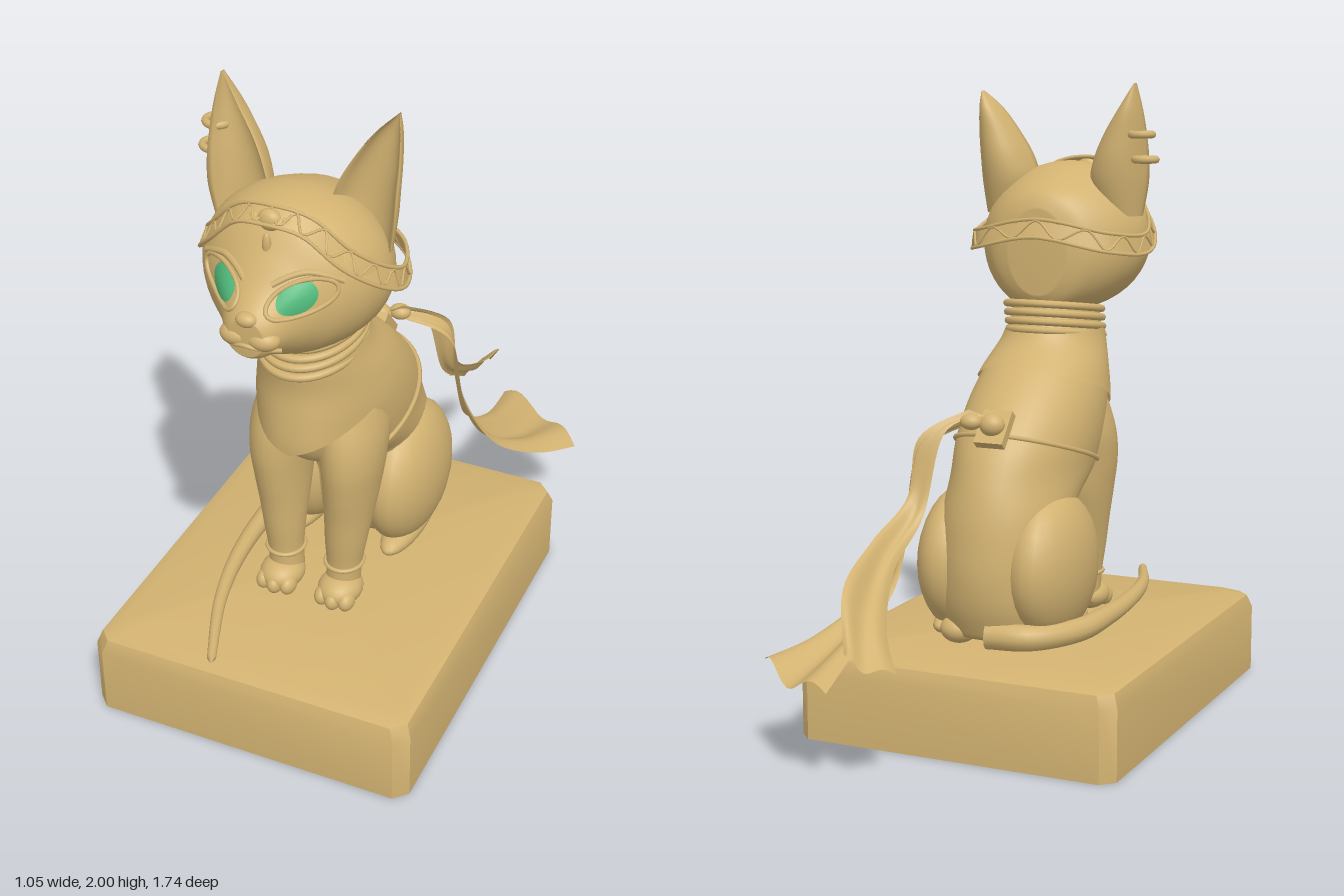
import * as THREE from 'three';
import { mergeVertices, toCreasedNormals } from 'three/addons/utils/BufferGeometryUtils.js';
import { ParametricGeometry } from 'three/addons/geometries/ParametricGeometry.js';

const V = (x, y, z) => new THREE.Vector3(x, y, z);
const TAU = Math.PI * 2;

// smooth interpolation through rows of numbers, t in 0..1
function spline(rows) {
  return (t) => {
    const s = Math.min(Math.max(t, 0), 1) * (rows.length - 1);
    const i = Math.min(Math.floor(s), rows.length - 2), f = s - i;
    const at = (k) => rows[Math.min(Math.max(k, 0), rows.length - 1)];
    const [a, b, c, d] = [at(i - 1), at(i), at(i + 1), at(i + 2)];
    return b.map((_, k) => b[k] + 0.5 * f * (c[k] - a[k] + f * (2 * a[k] - 5 * b[k] + 4 * c[k] - d[k]
      + f * (3 * (b[k] - c[k]) + d[k] - a[k]))));
  };
}

// smooth surface from a rule f(u, v)
function surface(f, nu, nv) {
  const g = new ParametricGeometry((u, v, p) => p.copy(f(u, v)), nu, nv);
  g.deleteAttribute('uv');
  g.deleteAttribute('normal');
  const m = mergeVertices(g, 1e-5);
  m.computeVertexNormals();
  return m;
}

// closed form from elliptical sections [x, y, z, r1, r2] stacked along y or z
function loft(rows, axis, nu = 32, nv = 40) {
  const at = spline(rows);
  return surface((u, v) => {
    const [x, y, z, r1, r2] = at(v), k = v < 1e-6 || v > 1 - 1e-6 ? 0 : 1;
    const c = Math.cos(u * TAU) * r1 * k, s = Math.sin(u * TAU) * r2 * k;
    return axis === 'y' ? V(x + c, y, z - s) : V(x + c, y + s, z);
  }, nu, nv);
}

export function createModel() {
  const model = new THREE.Group();
  model.name = 'seatedCat';
  const gold = new THREE.MeshStandardMaterial({ name: 'gold', color: 0xd2b271, side: THREE.DoubleSide });
  const green = new THREE.MeshStandardMaterial({ name: 'green', color: 0x50b87a, side: THREE.DoubleSide });

  const add = (name, geometry, material = gold) => {
    const mesh = new THREE.Mesh(geometry, material);
    mesh.name = name;
    model.add(mesh);
    return mesh;
  };
  const ball = (name, x, y, z, rx, ry, rz) => {
    const m = add(name, new THREE.SphereGeometry(1, 24, 16));
    m.position.set(x, y, z);
    m.scale.set(rx, ry, rz);
    return m;
  };
  const cord = (name, pts, r, closed = false, n = 48) =>
    add(name, new THREE.TubeGeometry(new THREE.CatmullRomCurve3(pts, closed), n, r, 6, closed));

  // plinth: hollow shell, open below
  const plinth = [[0, 0], [0.22, 0], [0.262, 0.015], [0.28, 0.06], [0.28, 1]];
  const corners = [[1, -1, 0, 1], [1, 1, 0, -1], [1, 1, -1, 0], [-1, 1, 1, 0],
    [-1, 1, 0, -1], [-1, -1, 0, 1], [-1, -1, 1, 0], [1, -1, -1, 0]];
  add('plinth', toCreasedNormals(surface((u, v) => {
    const [y, inset] = plinth[Math.round(v * 4)], c = corners[(8 - Math.round(u * 8)) % 8];
    const k = inset === 1 ? 0 : 1;
    return V(-0.005 + k * (c[0] * (0.525 - inset) + c[2] * 0.04), y,
      0.205 + k * (c[1] * (0.665 - inset) + c[3] * 0.04));
  }, 8, 4), 0.6));

  // torso: [back z, front z, half width] at heights 0.3 to 1.4
  const torso = [[-0.22, 0.08, 0.17], [-0.26, 0.15, 0.2], [-0.275, 0.18, 0.2], [-0.27, 0.19, 0.2],
    [-0.255, 0.24, 0.2], [-0.225, 0.42, 0.205], [-0.175, 0.48, 0.213], [-0.09, 0.5, 0.208],
    [0.02, 0.505, 0.185], [0.15, 0.52, 0.15], [0.2, 0.5, 0.135], [0.22, 0.52, 0.13]];
  add('torso', loft(torso.map(([b, f, w], i) => [0, 0.3 + i * 0.1, (b + f) / 2, w, (f - b) / 2]), 'y', 40, 60));
  const torsoAt = spline(torso);
  const onTorso = (a, y, off) => {
    const [b, f, w] = torsoAt((y - 0.3) / 1.1);
    return V((w + off) * Math.sin(a), y, (b + f) / 2 + ((f - b) / 2 + off) * Math.cos(a));
  };

  // legs and paws, both sides
  const legRows = [[0.095, 0.29, 0.37, 0.055, 0.06], [0.1, 0.4, 0.365, 0.055, 0.06], [0.105, 0.5, 0.36, 0.065, 0.075],
    [0.11, 0.6, 0.345, 0.075, 0.1], [0.115, 0.7, 0.335, 0.085, 0.125], [0.117, 0.8, 0.33, 0.095, 0.14],
    [0.11, 0.9, 0.31, 0.1, 0.15], [0.09, 1.02, 0.3, 0.09, 0.12]];
  for (const s of [-1, 1]) {
    add('frontLeg', loft(legRows.map(([x, ...r]) => [s * x, ...r]), 'y', 24, 32));
    ball('frontPaw', s * 0.1, 0.325, 0.395, 0.07, 0.05, 0.08);
    for (const k of [-1, 0, 1]) ball('frontToe', s * 0.1 + k * 0.04, 0.312, 0.45 - 0.01 * k * k, 0.026, 0.032, 0.036);
    const cuff = add('anklet', new THREE.TorusGeometry(0.058, 0.007, 8, 32));
    cuff.rotation.x = Math.PI / 2;
    cuff.position.set(s * 0.1, 0.41, 0.365);
    cuff.scale.y = 1.08;
    ball('haunch', s * 0.15, 0.52, -0.02, 0.125, 0.235, 0.235);
    ball('hindPaw', s * 0.165, 0.322, 0.0, 0.06, 0.045, 0.19);
    ball('hindHeel', s * 0.1, 0.325, -0.17, 0.06, 0.045, 0.06);
  }

  // tapering tail curled around the right side
  const tailPath = new THREE.CatmullRomCurve3([V(-0.02, 0.33, -0.22), V(-0.15, 0.33, -0.2), V(-0.25, 0.33, -0.06),
    V(-0.27, 0.33, 0.15), V(-0.26, 0.33, 0.38), V(-0.215, 0.325, 0.6), V(-0.115, 0.31, 0.86)]);
  const tail = new THREE.TubeGeometry(tailPath, 60, 0.045, 12);
  const tp = tail.attributes.position;
  for (let i = 0; i < tp.count; i++) {
    const t = Math.floor(i / 13) / 60, c = tailPath.getPointAt(t);
    const p = V(0, 0, 0).fromBufferAttribute(tp, i).sub(c).multiplyScalar(t > 0.99 ? 0.05 : 1 - 0.7 * t).add(c);
    tp.setXYZ(i, p.x, p.y, p.z);
  }
  add('tail', tail);

  // head, with sections from the nape to the muzzle
  const head = add('head', loft([[0, 1.47, 0.188, 0.09, 0.13], [0, 1.475, 0.22, 0.17, 0.185], [0, 1.485, 0.3, 0.235, 0.222],
    [0, 1.505, 0.41, 0.275, 0.24], [0, 1.51, 0.51, 0.265, 0.237], [0, 1.505, 0.59, 0.222, 0.212],
    [0, 1.48, 0.655, 0.158, 0.155], [0, 1.46, 0.71, 0.108, 0.105], [0, 1.445, 0.76, 0.075, 0.075],
    [0, 1.442, 0.782, 0.05, 0.055]], 'z', 48, 60));
  const ray = new THREE.Raycaster();
  const onHead = (x, y, lift = 0) => {
    ray.set(V(x, y, 2), V(0, 0, -1));
    const hit = ray.intersectObject(head)[0];
    return V(x, y, (hit ? hit.point.z : 0.5) + lift);
  };
  ball('nose', 0, 1.498, 0.768, 0.032, 0.022, 0.026);
  ball('chin', 0, 1.393, 0.735, 0.05, 0.03, 0.04);
  cord('mouth', [-0.085, -0.04, 0, 0.04, 0.085].map((x, i) => V(x, [1.4, 1.415, 1.425, 1.415, 1.4][i],
    [0.735, 0.775, 0.787, 0.775, 0.735][i])), 0.007);

  for (const s of [-1, 1]) {
    ball('muzzlePad', s * 0.04, 1.436, 0.75, 0.05, 0.033, 0.04);

    // eye: green iris within almond shaped lids
    add('iris', surface((u, v) => {
      const p = onHead(s * 0.11 + 0.047 * v * Math.cos(u * TAU), 1.545 - 0.044 * v * Math.sin(u * TAU), 0.004);
      p.z += 0.01 * (1 - v * v);
      return p;
    }, 24, 6), green);
    const lid = [];
    for (let k = 0; k < 16; k++) {
      const a = k / 16 * TAU;
      lid.push(onHead(s * (0.122 + 0.078 * Math.cos(a)), 1.542 + 0.046 * Math.sin(a) + 0.012 * Math.cos(a), 0.003));
    }
    cord('eyelid', lid, 0.007, true);
    cord('brow', [0, 1, 2, 3, 4].map((k) => onHead(s * (0.04 + k * 0.042), 1.575 + 0.03 * Math.sin(k * 0.8), 0)), 0.01);

    // cupped ear
    const ear = spline([[1.58, 0.13, 0.27, 0.42, 0.08], [1.68, 0.095, 0.285, 0.43, 0.12], [1.76, 0.11, 0.288, 0.425, 0.125],
      [1.84, 0.15, 0.287, 0.405, 0.1], [1.92, 0.205, 0.28, 0.385, 0.07], [s < 0 ? 2 : 1.975, 0.262, 0.268, 0.36, 0.015]]);
    add('ear', surface((u, v) => {
      const [y, xi, xo, z, d] = ear(v), a = (s > 0 ? u : 1 - u) * TAU, c = Math.cos(a), n = Math.sin(a);
      const h = (xo - xi) / 2 * (n < 0 ? 1 - 0.12 * Math.min(1, -n * 4) : 1);
      return V(s * ((xi + xo) / 2 + h * c), y, z - d * (n > 0 ? n : -0.55 * n));
    }, 32, 24));
  }

  // earrings in the right ear
  for (const [x, y] of [[-0.292, 1.84], [-0.305, 1.762]]) {
    const ring = add('earring', new THREE.TorusGeometry(0.034, 0.012, 8, 24));
    ring.rotation.x = Math.PI / 2;
    ring.position.set(x, y, 0.345);
  }

  // headband: strip with rims and a zigzag
  const side = [[0.1, 1.715, 0.6], [0.2, 1.62, 0.565], [0.272, 1.54, 0.48], [0.292, 1.495, 0.38], [0.22, 1.505, 0.235]];
  const bandPath = new THREE.CatmullRomCurve3([V(0, 1.735, 0.615), ...side.map((p) => V(...p)), V(0, 1.545, 0.182),
    ...side.slice().reverse().map(([x, y, z]) => V(-x, y, z))], true);
  const onBand = (u, w, lift = 0) => {
    const p = bandPath.getPoint(u % 1), out = p.clone().sub(V(0, 1.45, 0.42)).normalize();
    const across = bandPath.getTangent(u % 1).cross(out).normalize();
    return p.addScaledVector(across, w).addScaledVector(out, lift + 0.004);
  };
  add('headband', surface((u, v) => onBand(u, (0.5 - v) * 0.06), 96, 2));
  const loop = (n, w) => Array.from({ length: n }, (_, i) => onBand(i / n, w(i), 0.003));
  cord('bandRim', loop(40, () => 0.03), 0.006, true, 96);
  cord('bandRim', loop(40, () => -0.03), 0.006, true, 96);
  cord('bandZigzag', loop(36, (i) => (i % 2 ? 0.026 : -0.026)), 0.004, true, 144);
  ball('jewel', 0, 1.725, 0.613, 0.036, 0.032, 0.025);
  ball('jewelDrop', 0, 1.66, onHead(0, 1.66).z, 0.013, 0.036, 0.012);
  for (const s of [-1, 1]) ball('jewelSide', s * 0.045, 1.72, 0.61, 0.02, 0.018, 0.015);

  // stacked neck rings
  for (let i = 0; i < 4; i++) {
    const ring = add('neckRing', new THREE.TorusGeometry(1, 0.075, 8, 48));
    ring.rotation.x = Math.PI / 2 + 0.14;
    ring.scale.set(0.147, 0.19, 0.16);
    ring.position.set(0, 1.2 + i * 0.029, 0.35 - i * 0.005);
  }

  // pointed bib draped over the chest and shoulders
  add('bib', surface((u, v) => {
    const a = Math.PI - u * TAU, b = Math.abs(a);
    const low = 0.89 + 0.16 * Math.min(1, b / 1.6) + 0.07 * Math.max(0, b - 1.6);
    const y = 1.22 + (low - 1.22) * v;
    return onTorso(a, y, 0.01 + 0.05 * v * v * Math.max(0, Math.cos(a)) ** 6);
  }, 64, 12));

  // waist sash, clasp and two trailing ribbons
  cord('sash', Array.from({ length: 24 }, (_, i) => {
    const a = i / 24 * TAU;
    return onTorso(a, 0.85 - 0.09 * Math.cos(a), 0.003);
  }), 0.008, true, 72);
  const clasp = add('clasp', new THREE.BoxGeometry(0.095, 0.03, 0.12));
  clasp.position.set(-0.015, 0.96, -0.155);
  clasp.rotation.x = -0.85;
  ball('claspStone', -0.015, 0.975, -0.172, 0.04, 0.035, 0.035);
  ball('knot', 0.045, 0.985, -0.195, 0.035, 0.025, 0.03);

  const ribbon = (left, right, wave) => {
    const l = spline(left), r = spline(right);
    add('ribbon', surface((u, v) => {
      const p = V(...r(v)).lerp(V(...l(v)), u);
      p.y += wave * v * Math.sin(u * TAU * 1.5);
      p.z -= 0.04 * v ** 6 * Math.sin(u * Math.PI);
      return p;
    }, 14, 40));
  };
  ribbon([[0.02, 1.0, -0.16], [0.11, 0.95, -0.25], [0.14, 0.71, -0.33], [0.15, 0.58, -0.5], [0.08, 0.45, -0.68], [-0.01, 0.36, -0.79]],
    [[0.06, 1.02, -0.18], [0.18, 0.94, -0.28], [0.2, 0.76, -0.32], [0.225, 0.66, -0.5], [0.2, 0.57, -0.72], [0.12, 0.42, -0.86]], 0.012);
  ribbon([[0.05, 1.0, -0.18], [0.17, 0.92, -0.29], [0.2, 0.7, -0.3], [0.2, 0.5, -0.4], [0.21, 0.38, -0.6], [0.18, 0.3, -0.86]],
    [[0.07, 0.97, -0.18], [0.2, 0.88, -0.25], [0.25, 0.65, -0.26], [0.33, 0.45, -0.35], [0.43, 0.34, -0.5], [0.52, 0.3, -0.64]], 0.025);

  return model;
}
